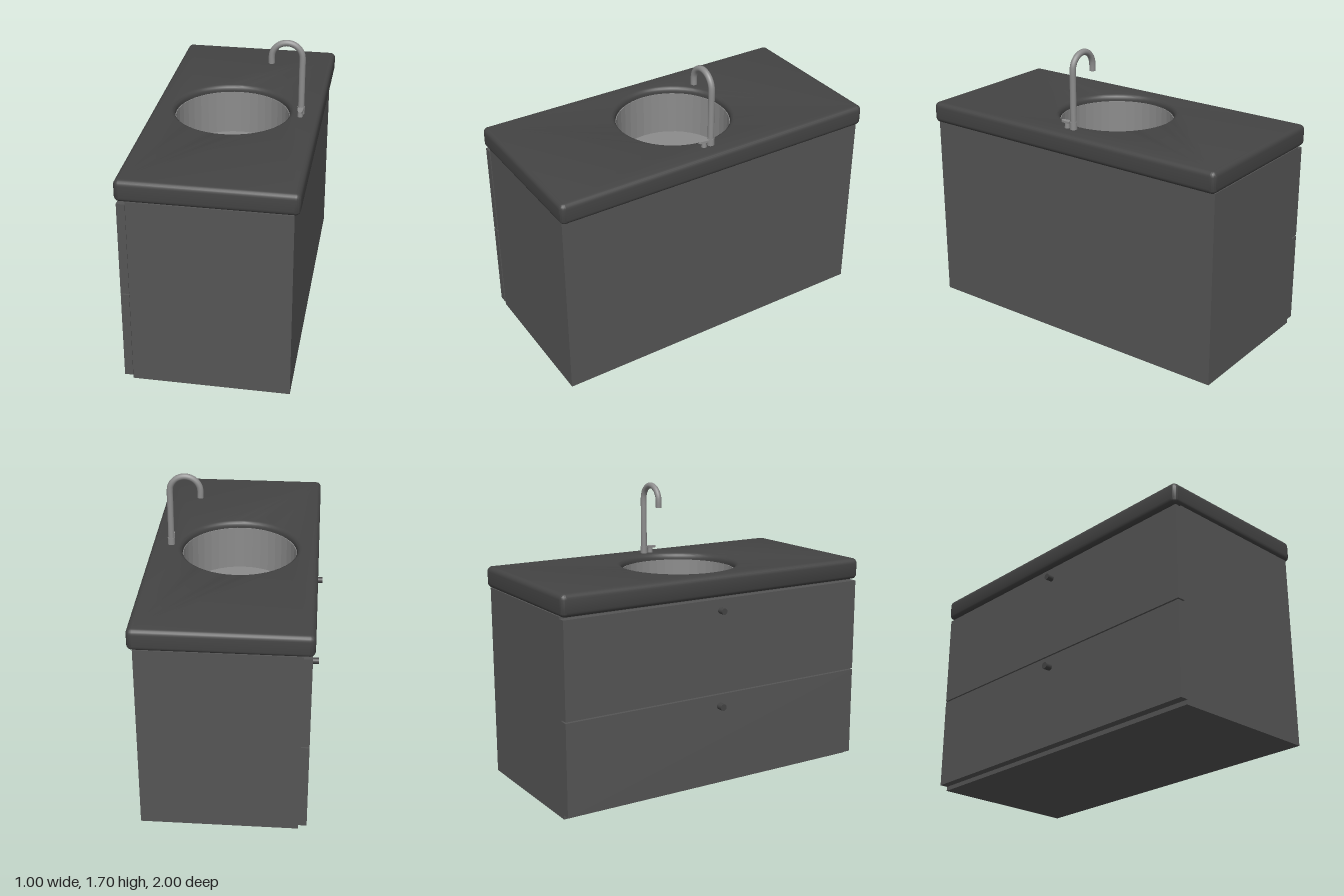
import * as THREE from 'three';
import { toCreasedNormals } from 'three/addons/utils/BufferGeometryUtils.js';

const BASIN_X = -0.015, BASIN_R = 0.335, FAUCET_X = 0.387;

export function createModel() {
  const model = new THREE.Group();
  const mat = (color, extra = {}) => new THREE.MeshStandardMaterial({ color, ...extra });
  const counterMat = mat(0x444444);
  const cabinetMat = mat(0x555555);
  const metalMat = mat(0x8c8c8c);
  const basinMat = mat(0x8c8c8c, { flatShading: true, side: THREE.DoubleSide });

  const add = (name, geometry, material, x = 0, y = 0, z = 0, parent = model) => {
    const mesh = new THREE.Mesh(geometry, material);
    mesh.name = name;
    mesh.position.set(x, y, z);
    parent.add(mesh);
    return mesh;
  };
  // Box given by its minimum and maximum corners
  const box = (name, a, b, material, parent) => add(name,
    new THREE.BoxGeometry(b[0] - a[0], b[1] - a[1], b[2] - a[2]), material,
    (a[0] + b[0]) / 2, (a[1] + b[1]) / 2, (a[2] + b[2]) / 2, parent);

  // Cabinet: hollow carcass, so the basin can hang inside
  const cabinet = new THREE.Group();
  cabinet.name = 'cabinet';
  model.add(cabinet);
  const x0 = -0.415, x1 = 0.47, zw = 0.987, h = 1.13, t = 0.03;
  box('cabinetFloor', [x0, 0, -zw], [x1, t, zw], cabinetMat, cabinet);
  box('cabinetBack', [x1 - t, t, -zw], [x1, h, zw], cabinetMat, cabinet);
  box('cabinetFront', [x0, t, -zw], [x0 + t, h, zw], cabinetMat, cabinet);
  for (const s of [-1, 1]) {
    const side = box('cabinetSide', [x0 + t, t, zw - t], [x1 - t, h, zw], cabinetMat, cabinet);
    side.position.z *= s;
  }

  // Two drawer fronts, each with a round knob
  for (const [bottom, top, knobY, knobR] of [[0.025, 0.558, 0.49, 0.02], [0.566, 1.118, 1.052, 0.018]]) {
    box('drawerFront', [-0.462, bottom, -0.987], [x0, top, 0.992], cabinetMat);
    const knob = add('drawerKnob', new THREE.CylinderGeometry(knobR, knobR, 0.042, 20), metalMat, -0.481, knobY, 0);
    knob.rotation.z = Math.PI / 2;
    knob.material = counterMat;
  }

  // Countertop: rounded slab with a bevelled round opening
  const bevel = 0.03, r = 0.03, cx0 = -0.475, cx1 = 0.5, cz = 1;
  const slab = new THREE.Shape();
  slab.moveTo(cx0 + r, -cz);
  slab.lineTo(cx1 - r, -cz);
  slab.absarc(cx1 - r, -cz + r, r, -Math.PI / 2, 0);
  slab.lineTo(cx1, cz - r);
  slab.absarc(cx1 - r, cz - r, r, 0, Math.PI / 2);
  slab.lineTo(cx0 + r, cz);
  slab.absarc(cx0 + r, cz - r, r, Math.PI / 2, Math.PI);
  slab.lineTo(cx0, -cz + r);
  slab.absarc(cx0 + r, -cz + r, r, Math.PI, Math.PI * 1.5);
  const hole = new THREE.Path();
  hole.absarc(BASIN_X, 0, BASIN_R, 0, Math.PI * 2, true);
  slab.holes.push(hole);
  const slabGeo = new THREE.ExtrudeGeometry(slab, {
    depth: 0.125 - 2 * bevel, bevelThickness: bevel, bevelSize: bevel - 0.002,
    bevelOffset: -bevel + 0.002, bevelSegments: 5, curveSegments: 24,
  });
  slabGeo.rotateX(-Math.PI / 2);
  add('countertop', toCreasedNormals(slabGeo, 0.6), counterMat, 0, 1.13 + bevel, 0);

  // Basin: straight round wall and flat floor with a drain
  const v = (x, y) => new THREE.Vector2(x, y);
  const bowl = [v(0, 0.95), v(BASIN_R - 0.004, 0.95), v(BASIN_R - 0.004, 1.215), v(BASIN_R + 0.004, 1.215)];
  add('basin', new THREE.LatheGeometry(bowl, 40), basinMat, BASIN_X, 0, 0);
  add('drain', new THREE.CylinderGeometry(0.057, 0.057, 0.008, 32), metalMat, BASIN_X, 0.954, 0);

  // Faucet: collar, gooseneck spout and side lever
  const faucet = new THREE.Group();
  faucet.name = 'faucet';
  faucet.position.set(FAUCET_X, 0, 0.005);
  model.add(faucet);
  add('faucetCollar', new THREE.CylinderGeometry(0.021, 0.021, 0.045, 24), metalMat, 0, 1.275, 0, faucet);
  add('faucetShank', new THREE.CylinderGeometry(0.017, 0.017, 0.16, 16), metalMat, 0, 1.18, 0, faucet);

  const bendR = 0.088, bendY = 1.593, tubeR = 0.018;
  const path = [new THREE.Vector3(0, 1.27, 0), new THREE.Vector3(0, 1.4, 0), new THREE.Vector3(0, 1.52, 0)];
  for (let i = 0; i <= 10; i++) {
    const a = Math.PI * i / 10;
    path.push(new THREE.Vector3(-bendR + bendR * Math.cos(a), bendY + bendR * Math.sin(a), 0));
  }
  const tip = new THREE.Vector3(-2 * bendR, 1.556, 0);
  path.push(tip);
  add('faucetSpout', new THREE.TubeGeometry(new THREE.CatmullRomCurve3(path), 80, tubeR, 16), metalMat, 0, 0, 0, faucet);
  const cap = add('spoutTip', new THREE.CircleGeometry(tubeR, 16), metalMat, tip.x, tip.y, 0, faucet);
  cap.rotation.x = Math.PI / 2;

  add('leverStem', new THREE.CylinderGeometry(0.014, 0.016, 0.04, 16), metalMat, 0, 1.272, 0.044, faucet);
  const lever = new THREE.Shape();
  lever.moveTo(-0.018, -0.022);
  lever.lineTo(0.018, -0.022);
  lever.lineTo(0.013, -0.068);
  lever.absarc(0, -0.07, 0.012, 0, -Math.PI, true);
  lever.closePath();
  const leverGeo = new THREE.ExtrudeGeometry(lever, { depth: 0.012, bevelEnabled: false });
  leverGeo.rotateX(-Math.PI / 2);
  add('lever', leverGeo, metalMat, 0, 1.285, 0, faucet);

  return model;
}
